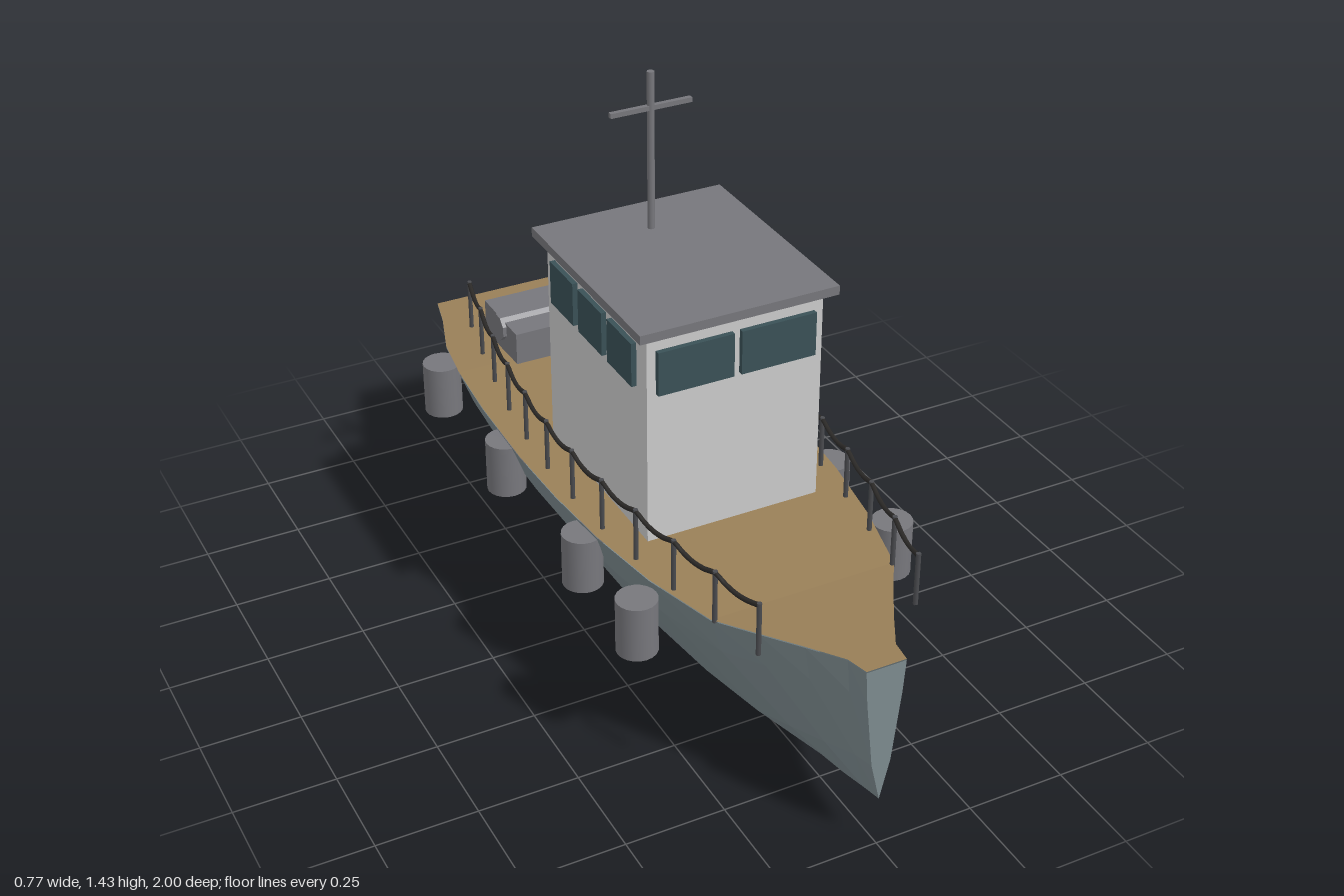
import * as THREE from 'three';

const mat = (color, extra = {}) => new THREE.MeshStandardMaterial({ color, ...extra });

// hull stations, stern to bow: z, half width, deck height, keel height
const STATIONS = [
  [-1, 0.22, 0.435, 0.075], [-0.9, 0.245, 0.44, 0.06], [-0.75, 0.295, 0.447, 0.036],
  [-0.6, 0.32, 0.454, 0.018], [-0.4, 0.337, 0.458, 0.006], [-0.15, 0.345, 0.46, 0],
  [0.05, 0.339, 0.46, 0.003], [0.25, 0.322, 0.46, 0.012], [0.45, 0.29, 0.46, 0.028],
  [0.65, 0.237, 0.464, 0.05], [0.75, 0.173, 0.472, 0.068], [0.85, 0.112, 0.483, 0.09],
  [0.94, 0.06, 0.493, 0.115], [1, 0.05, 0.498, 0.13],
];
// half section as fractions of width and height: deck edge, strake, chine, keel
const SECTION = [[1, 1], [0.88, 0.77], [0.48, 0.28], [0, 0]];

function ringAt([z, w, top, keel]) {
  const half = SECTION.map(([u, v]) => [u * w, keel + v * (top - keel), z]);
  const other = half.slice(0, -1).reverse().map(([x, y]) => [-x, y, z]);
  return [...half, ...other];
}

function fromTriangles(tris) {
  const g = new THREE.BufferGeometry();
  g.setAttribute('position', new THREE.Float32BufferAttribute(tris.flat(2), 3));
  g.computeVertexNormals();
  return g;
}

export function createModel() {
  const model = new THREE.Group();
  const grey = mat(0x77777c);
  const flatGrey = mat(0x77777c, { flatShading: true });
  const wallMat = mat(0xcccccc);
  const glass = mat(0x3a5157);
  const dark = mat(0x4a4b4f);
  const ropeMat = mat(0x2c2a28);

  const add = (name, geometry, material, x = 0, y = 0, z = 0, parent = model) => {
    const m = new THREE.Mesh(geometry, material);
    m.name = name;
    m.position.set(x, y, z);
    parent.add(m);
    return m;
  };
  const group = (name) => {
    const g = new THREE.Group();
    g.name = name;
    model.add(g);
    return g;
  };

  // hull shell with flat transom and stem plate, and the deck over it
  const rings = STATIONS.map(ringAt);
  const n = rings[0].length;
  const hull = [], deck = [];
  for (let j = 0; j < rings.length - 1; j++) {
    const a = rings[j], b = rings[j + 1];
    for (let i = 0; i < n - 1; i++) {
      hull.push([a[i], b[i], a[i + 1]], [b[i], b[i + 1], a[i + 1]]);
    }
    deck.push([a[n - 1], b[n - 1], a[0]], [b[n - 1], b[0], a[0]]);
  }
  const stern = rings[0], bow = rings[rings.length - 1];
  for (let i = 1; i < n - 1; i++) {
    hull.push([stern[0], stern[i], stern[i + 1]], [bow[0], bow[i + 1], bow[i]]);
  }
  add('hull', fromTriangles(hull), mat(0x7d8b8f, { flatShading: true, side: THREE.DoubleSide }));
  add('deck', fromTriangles(deck), mat(0x9a8058, { side: THREE.DoubleSide }), 0, 0.003, 0);

  // wheelhouse with its roof
  add('wheelhouse', new THREE.BoxGeometry(0.45, 0.556, 0.53), wallMat, 0, 0.734, 0.05);
  add('roof', new THREE.BoxGeometry(0.506, 0.023, 0.58), grey, 0, 1.0215, 0.05);

  // windows: two ahead, three on each side
  const windows = group('windows');
  const frontPane = new THREE.BoxGeometry(0.193, 0.112, 0.02);
  const sidePane = new THREE.BoxGeometry(0.02, 0.112, 0.127);
  for (const s of [-1, 1]) {
    add('frontWindow', frontPane, glass, s * 0.106, 0.914, 0.318, windows);
    for (const z of [0.2, 0.045, -0.11]) {
      add('sideWindow', sidePane, glass, s * 0.228, 0.914, z, windows);
    }
  }

  // mast and crossbar
  add('mast', new THREE.CylinderGeometry(0.009, 0.009, 0.41, 10), grey, 0, 1.23, -0.11);
  add('crossbar', new THREE.BoxGeometry(0.21, 0.012, 0.012), grey, 0, 1.345, -0.11);

  // funnel
  add('funnel', new THREE.CylinderGeometry(0.063, 0.086, 0.42, 24), grey, 0, 0.668, -0.447);

  // winch: a base box with an eight-sided drum lying across it
  add('winchBase', new THREE.BoxGeometry(0.336, 0.092, 0.208), grey, 0, 0.5, -0.672);
  const drumGeo = new THREE.CylinderGeometry(0.036, 0.036, 0.356, 8);
  drumGeo.rotateY(Math.PI / 8).rotateZ(Math.PI / 2);
  add('winchDrum', drumGeo, flatGrey, 0, 0.523, -0.665);

  // fenders hung along both sides
  const fenders = group('fenders');
  const fenderGeo = new THREE.CylinderGeometry(0.05, 0.05, 0.142, 20);
  for (const s of [-1, 1]) {
    for (const z of [0.483, 0.193, -0.26, -0.68]) {
      add('fender', fenderGeo, grey, s * 0.337, 0.379, z, fenders);
    }
  }

  // railings: posts on a bowed line with a sagging rope between them
  const POSTS = 12;
  const railX = (t) => 0.2 + 0.105 * Math.sin(Math.PI * t);
  const postGeo = new THREE.CylinderGeometry(0.006, 0.006, 0.138, 8);
  for (const s of [-1, 1]) {
    const rail = group(s > 0 ? 'leftRailing' : 'rightRailing');
    const path = [];
    for (let k = 0; k < POSTS; k++) {
      const t = k / (POSTS - 1);
      add('railPost', postGeo, dark, s * railX(t), 0.531, 0.8 - 1.6 * t, rail);
      if (k === POSTS - 1) break;
      for (let q = 0; q < 4; q++) {
        const u = t + q / 4 / (POSTS - 1);
        const sag = 0.014 * Math.sin((Math.PI * q) / 4);
        path.push(new THREE.Vector3(s * railX(u), 0.594 - sag, 0.8 - 1.6 * u));
      }
    }
    path.push(new THREE.Vector3(s * 0.2, 0.594, -0.8));
    const curve = new THREE.CatmullRomCurve3(path);
    add('railRope', new THREE.TubeGeometry(curve, 132, 0.006, 6), ropeMat, 0, 0, 0, rail);
  }

  return model;
}
